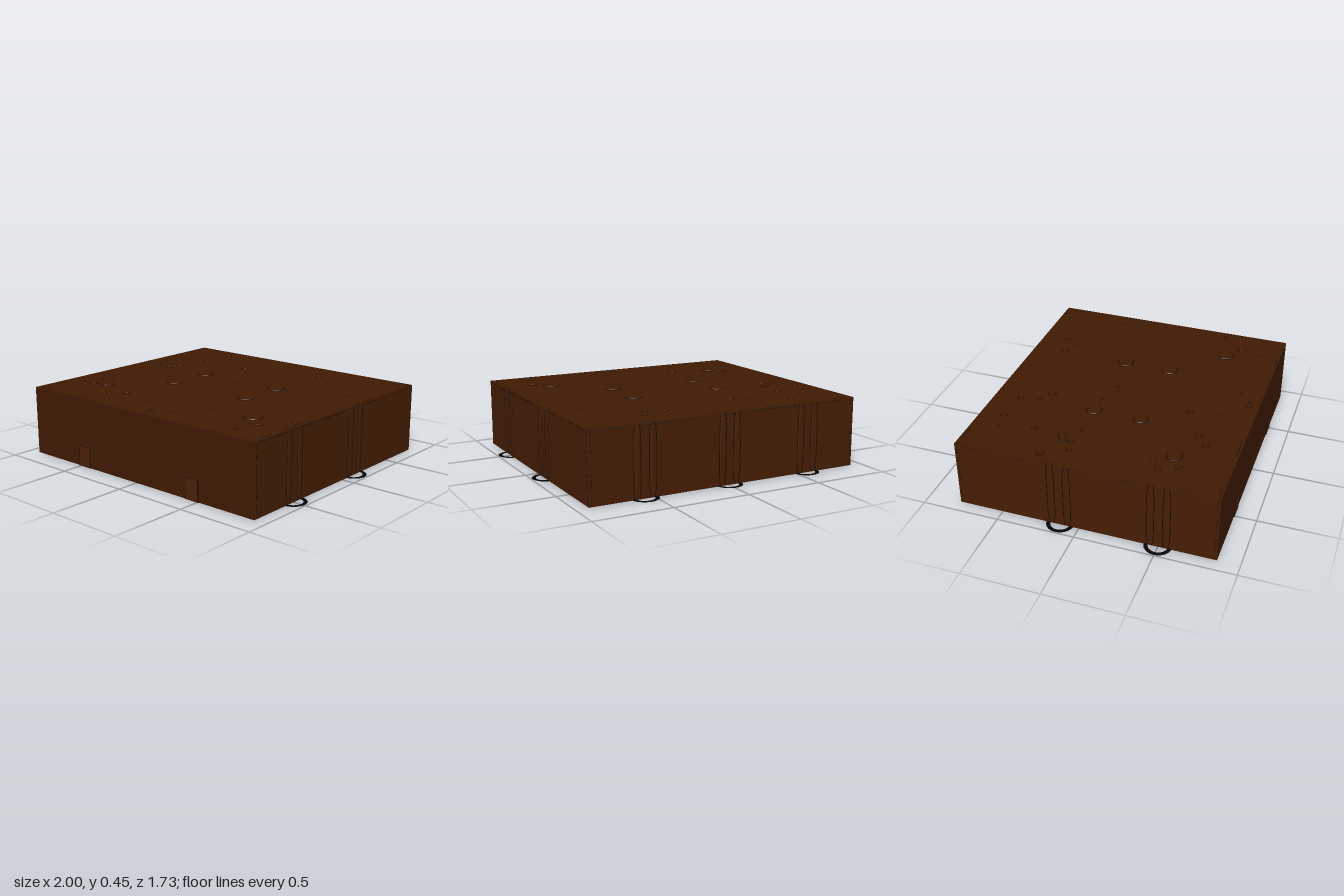
import * as THREE from 'three';

const mat = (name, color) => {
  const m = new THREE.MeshStandardMaterial({ color, side: THREE.DoubleSide });
  m.name = name;
  return m;
};

export function createModel() {
  const brown = mat('brown', 0x401a02);
  const wall = mat('wall brown', 0x451d04);
  const warm = mat('door brown', 0x4b2008);
  const seam = mat('dark seam', 0x180b03);
  const black = mat('black', 0x050506);
  const rust = mat('rust', 0x8a3420);
  const root = new THREE.Group();
  const X = 0.92, H = 0.45, Z0 = -0.785, Z1 = 0.86;

  const add = (name, geo, m, x = 0, y = 0, z = 0, parent = root) => {
    const mesh = new THREE.Mesh(geo, m);
    mesh.name = name;
    mesh.position.set(x, y, z);
    parent.add(mesh);
    return mesh;
  };
  let seed = 7;
  const rand = () => (seed = (seed * 16807) % 2147483647) / 2147483647;

  // Main slab, y from 0.002 to 0.449; sides and back a shade lighter
  add('slab', new THREE.BoxGeometry(X * 2, H - 0.003, Z1 - Z0),
    [wall, wall, brown, brown, brown, wall], 0, (H + 0.001) / 2, (Z0 + Z1) / 2);

  // Uneven seam along an edge, dipping in and out of the surface
  const edge = (name, a, b, wobble) => {
    const start = new THREE.Vector3(...a), end = new THREE.Vector3(...b);
    const pts = [];
    for (let i = 0; i <= 24; i++) {
      const p = start.clone().lerp(end, i / 24);
      p.x += (rand() - 0.5) * wobble[0];
      p.y += (rand() - 0.5) * wobble[1];
      p.z += (rand() - 0.5) * wobble[2];
      pts.push(p);
    }
    add(name, new THREE.TubeGeometry(new THREE.CatmullRomCurve3(pts), 72, 0.0025, 5), seam);
  };
  const ex = X - 0.015, ey = H - 0.0035, sx = X - 0.0015, bz = Z0 + 0.0015;
  for (const s of [-1, 1]) {
    edge('sideTopSeam', [s * ex, ey, Z0 + 0.018], [s * ex, ey, Z1 - 0.018], [0.012, 0.004, 0]);
    edge('sideBackCornerSeam', [s * sx, 0.01, Z0 + 0.015], [s * sx, H - 0.01, Z0 + 0.015], [0.003, 0, 0.008]);
    edge('sideFrontCornerSeam', [s * sx, 0.01, Z1 - 0.015], [s * sx, H - 0.01, Z1 - 0.015], [0.003, 0, 0.008]);
    edge('backCornerSeam', [s * ex, 0.01, bz], [s * ex, H - 0.01, bz], [0.008, 0, 0.003]);
    edge('sideUpperSeam', [s * sx, H - 0.012, Z0 + 0.015], [s * sx, H - 0.012, Z1 - 0.015], [0.005, 0.005, 0]);
  }
  edge('backTopSeam', [-ex, ey, Z0 + 0.018], [ex, ey, Z0 + 0.018], [0, 0.004, 0.012]);
  edge('frontTopSeam', [-ex, ey, Z1 - 0.018], [ex, ey, Z1 - 0.018], [0, 0.004, 0.012]);
  edge('backUpperSeam', [-ex, H - 0.012, bz], [ex, H - 0.012, bz], [0, 0.005, 0.005]);

  // Tether post: two slim tapered ribs with dark outlines and a flat ring at the foot
  const rib = new THREE.LatheGeometry(
    [[0.012, 0.004], [0.018, 0.06], [0.02, 0.22], [0.018, 0.39], [0.012, 0.446]].map(p => new THREE.Vector2(...p)), 14);
  const ring = new THREE.TorusGeometry(0.0745, 0.0125, 6, 32).rotateX(Math.PI / 2).scale(1, 0.2, 1);
  const outline = side => new THREE.TubeGeometry(new THREE.CatmullRomCurve3(
    [[0.014, 0.006], [0.021, 0.06], [0.023, 0.22], [0.021, 0.39], [0.014, 0.445]]
      .map(([r, y]) => new THREE.Vector3(side * r, y, 0))), 16, 0.0025, 5);
  const outlines = [outline(-1), outline(1)];
  const tether = (x, z, angle) => {
    const g = new THREE.Group();
    g.name = 'tetherPost';
    g.position.set(x, 0, z);
    g.rotation.y = angle;
    root.add(g);
    for (const s of [-1, 1]) {
      const r = add('rib', rib, wall, s * 0.05, 0, 0, g);
      r.scale.z = 0.22;
      for (const o of outlines) add('ribOutline', o, seam, s * 0.05, 0, 0, g);
    }
    add('ring', ring, black, 0, 0.005, -0.009, g);
  };
  for (const z of [0.5, -0.12]) {
    tether(X, z, Math.PI / 2);
    tether(-X, z, -Math.PI / 2);
  }
  for (const x of [-0.567, 0, 0.567]) tether(x, Z0, Math.PI);

  // Low bumps on top: x, z, radius
  const bumps = [
    [-0.31, -0.12, 0.05], [0.305, -0.12, 0.053], [-0.31, 0.19, 0.048], [0.305, 0.19, 0.053],
    [-0.62, 0.5, 0.046], [0.615, 0.5, 0.055], [-0.54, -0.635, 0.021], [-0.32, -0.615, 0.018],
    [-0.655, -0.62, 0.008], [-0.22, -0.44, 0.025], [-0.605, -0.4, 0.022], [-0.84, -0.26, 0.021],
    [-0.635, -0.205, 0.023], [-0.665, -0.185, 0.022], [-0.665, -0.13, 0.022], [-0.755, -0.11, 0.018],
    [-0.535, -0.11, 0.01], [-0.17, -0.11, 0.01], [0.48, -0.615, 0.017], [0.43, -0.525, 0.02],
    [0.32, -0.57, 0.02], [0.83, -0.3, 0.018], [0.75, -0.265, 0.009], [-0.695, 0.395, 0.017],
    [-0.76, 0.445, 0.021], [-0.7, 0.55, 0.021], [-0.575, 0.535, 0.01], [-0.36, 0.575, 0.025],
    [-0.445, 0.645, 0.02], [-0.11, 0.645, 0.014], [0.05, 0.795, 0.018], [0.095, 0.79, 0.01],
    [0.72, 0.585, 0.027], [0.87, 0.44, 0.015], [0.715, 0.61, 0.009], [0.305, 0.195, 0.01],
    [0.685, 0.735, 0.009], [-0.3, -0.5, 0.015], [-0.13, 0.46, 0.018], [0.18, 0.72, 0.008],
    [0.59, 0.7, 0.006], [0.31, 0.51, 0.007], [0, -0.07, 0.012],
  ];
  for (const [x, z, r] of bumps) {
    add('bump', new THREE.CylinderGeometry(r * 0.9, r, 0.008, 20), brown, x, H, z);
    add('bumpRim', new THREE.TorusGeometry(r, 0.0028, 5, 24).rotateX(Math.PI / 2), seam, x, H - 0.001, z);
  }

  // Two small front doors, dark along the outer edge and lintel
  for (const s of [-1, 1]) {
    add('door', new THREE.BoxGeometry(0.1, 0.132, 0.008), warm, s * 0.46, 0.067, Z1);
    add('doorEdge', new THREE.BoxGeometry(0.006, 0.132, 0.009), seam, s * 0.508, 0.067, Z1);
    add('doorInnerEdge', new THREE.BoxGeometry(0.002, 0.132, 0.009), seam, s * 0.41, 0.067, Z1);
    add('doorLintel', new THREE.BoxGeometry(0.102, 0.002, 0.009), seam, s * 0.46, 0.134, Z1);
  }

  // Underside: dark patch near the back and scattered rust specks
  const patch = new THREE.Shape(
    [[0.31, -0.55], [0.22, -0.67], [0, -0.69], [-0.31, -0.76], [-0.31, -0.55]].map(p => new THREE.Vector2(...p)));
  add('underPatch', new THREE.ExtrudeGeometry(patch, { depth: 0.002, bevelEnabled: false }).rotateX(Math.PI / 2),
    black, 0, 0.002, 0);
  const speck = new THREE.CylinderGeometry(0.009, 0.009, 0.003, 8);
  for (let i = 0; i < 34; i++)
    add('speck', speck, rust, (rand() - 0.5) * 1.7, 0.0015, -0.5 + rand() * 1.3);
  return root;
}
